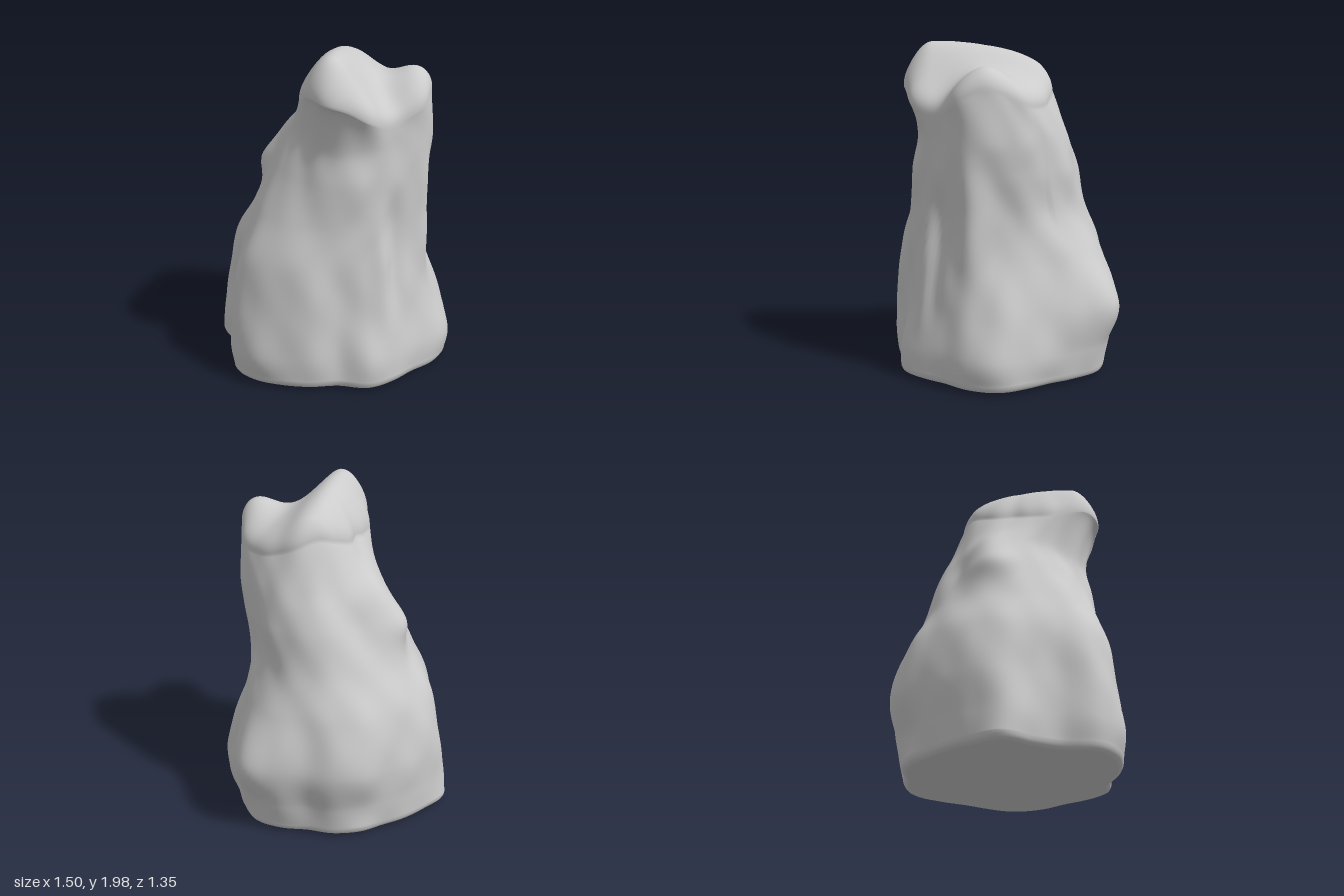
import * as THREE from 'three';

// Cross-sections: height, centre x, centre z, then radii at even angles from +x towards the front (+z)
const LOWER = [
  [0.06, 0, 0, 0.65, 0.63, 0.67, 0.72, 0.70, 0.66, 0.67, 0.68, 0.62, 0.65, 0.68, 0.72,
    0.72, 0.62, 0.63, 0.72, 0.67, 0.63, 0.61, 0.63, 0.63, 0.61, 0.66, 0.69],
  [0.20, 0, 0, 0.67, 0.65, 0.68, 0.73, 0.71, 0.66, 0.67, 0.67, 0.61, 0.66, 0.69, 0.74,
    0.74, 0.63, 0.63, 0.71, 0.67, 0.64, 0.62, 0.64, 0.65, 0.63, 0.69, 0.72],
  [0.45, 0, 0, 0.70, 0.63, 0.63, 0.67, 0.65, 0.62, 0.62, 0.61, 0.58, 0.64, 0.67, 0.71,
    0.71, 0.61, 0.61, 0.67, 0.67, 0.65, 0.65, 0.69, 0.71, 0.68, 0.73, 0.78],
  [0.75, 0, 0, 0.59, 0.56, 0.56, 0.58, 0.60, 0.59, 0.58, 0.57, 0.57, 0.61, 0.63, 0.65,
    0.65, 0.58, 0.58, 0.61, 0.60, 0.59, 0.60, 0.63, 0.62, 0.60, 0.62, 0.62],
];
const UPPER = [
  [1.00, 0.04, 0.05, 0.46, 0.48, 0.53, 0.50, 0.53, 0.55, 0.56, 0.53, 0.54, 0.53, 0.53, 0.50],
  [1.25, 0.06, 0.10, 0.44, 0.46, 0.49, 0.46, 0.50, 0.47, 0.44, 0.46, 0.53, 0.46, 0.50, 0.47],
  [1.45, 0.07, 0.12, 0.42, 0.46, 0.48, 0.44, 0.46, 0.43, 0.37, 0.38, 0.44, 0.40, 0.42, 0.43],
  [1.62, 0.04, 0.21, 0.43, 0.43, 0.41, 0.35, 0.42, 0.46, 0.39, 0.33, 0.31, 0.36, 0.41, 0.42],
];
const SECTIONS = [...LOWER, ...UPPER];
const LAST = SECTIONS.length - 1, AROUND = 144;
const bump = (d, w) => Math.exp(-(d * d) / (w * w));

// Catmull-Rom through four values
function spline(a, b, c, d, t) {
  const m0 = (c - a) / 2, m1 = (d - b) / 2;
  return b + t * (m0 + t * (3 * (c - b) - 2 * m0 - m1 + t * (2 * (b - c) + m0 + m1)));
}

// Radius of one section at a fraction u of a turn
function radiusAt(section, u) {
  const n = section.length - 3, i = Math.floor(u * n);
  const r = (k) => section[3 + ((k + n) % n)];
  return spline(r(i - 1), r(i), r(i + 1), r(i + 2), u * n - i);
}

// Any value of a section, blended at a fractional level v
function blend(v, pick) {
  const i = Math.min(Math.floor(v), LAST - 1);
  const s = (k) => pick(SECTIONS[THREE.MathUtils.clamp(k, 0, LAST)]);
  return spline(s(i - 1), s(i), s(i + 1), s(i + 2), v - i);
}

// Height added on the crown: a diagonal ridge, a front corner peak and a front dip
function crownHeight(x, z) {
  const ax = -0.25, az = 0.34, dx = 0.43, dz = -0.43;
  const t = THREE.MathUtils.clamp(((x - ax) * dx + (z - az) * dz) / (dx * dx + dz * dz), 0, 1);
  const ridge = (0.225 - 0.085 * t) * bump(Math.hypot(x - ax - t * dx, z - az - t * dz), 0.19);
  const corner = 0.13 * bump(Math.hypot(x - 0.33, z - 0.44), 0.18);
  const dip = 0.06 * bump(Math.hypot(x - 0.02, z - 0.52), 0.15);
  return ridge + corner - dip;
}

// One surface point, with front grooves, gentle lumps and the crown applied
function surfacePoint([v, scale, lift], u) {
  const y = blend(v, (s) => s[0]), cx = blend(v, (s) => s[1]), cz = blend(v, (s) => s[2]);
  const a = u * Math.PI * 2, c = Math.cos(a), s = Math.sin(a);
  let r = blend(v, (section) => radiusAt(section, u));
  const x0 = cx + r * c;
  if (s > 0) {
    r -= 0.03 * bump(x0 - 0.05, 0.06) * bump(y - 0.75, 0.32);
    r += 0.02 * bump(x0 + 0.03, 0.06) * bump(y - 0.75, 0.35);
    r += 0.03 * bump(x0 - 0.29, 0.07) * bump(y - 1.0, 0.4);
    r -= 0.035 * bump(x0 - 0.41, 0.07) * bump(y - 0.95, 0.4);
  }
  // small ledge at the back corner
  r += 0.035 * bump(a - 4.1, 0.22) * bump(y - 1.22, 0.1);
  r += 0.006 * Math.sin(7 * a + 1) * Math.sin(9 * y) + 0.004 * Math.sin(13 * a) * Math.sin(15 * y + 2);
  const x = cx + r * scale * c, z = cz + r * scale * s;
  return [x, y + lift + THREE.MathUtils.smoothstep(y, 1.42, 1.62) * crownHeight(x, z), z];
}

// Closed rings joined into a smooth skin; each row is [level, scale, lift]
function skin(rows) {
  const pos = [], index = [];
  rows.forEach((row) => {
    for (let i = 0; i < AROUND; i++) pos.push(...surfacePoint(row, i / AROUND));
  });
  for (let j = 0; j < rows.length - 1; j++) {
    for (let i = 0; i < AROUND; i++) {
      const n = (i + 1) % AROUND, a = j * AROUND + i, b = j * AROUND + n;
      index.push(a, a + AROUND, b, b, a + AROUND, b + AROUND);
    }
  }
  const g = new THREE.BufferGeometry();
  g.setAttribute('position', new THREE.Float32BufferAttribute(pos, 3));
  g.setIndex(index);
  g.computeVertexNormals();
  return g;
}

export function createModel() {
  const group = new THREE.Group();
  group.name = 'weatheredStone';
  const material = new THREE.MeshStandardMaterial({ color: 0xcccccc });

  // Body from the rounded foot up over the crown
  const rows = [[0, 0.95, -0.045], [0, 0.98, -0.035], [0, 0.995, -0.018]];
  const steps = 90, capSteps = 32;
  for (let j = 0; j <= steps; j++) rows.push([(j / steps) * LAST, 1, 0]);
  for (let j = 1; j <= capSteps; j++) {
    const a = (j / capSteps) * Math.PI / 2;
    rows.push([LAST, Math.max(Math.cos(a) ** 0.75, 0.001), 0.165 * Math.sin(a) ** 0.8]);
  }
  const body = new THREE.Mesh(skin(rows), material);
  body.name = 'stoneBody';

  // Nearly flat underside
  const under = new THREE.Mesh(skin([[0, 0.001, -0.045], [0, 0.5, -0.055], [0, 0.95, -0.045]]), material);
  under.name = 'underside';

  group.add(body, under);
  return group;
}
